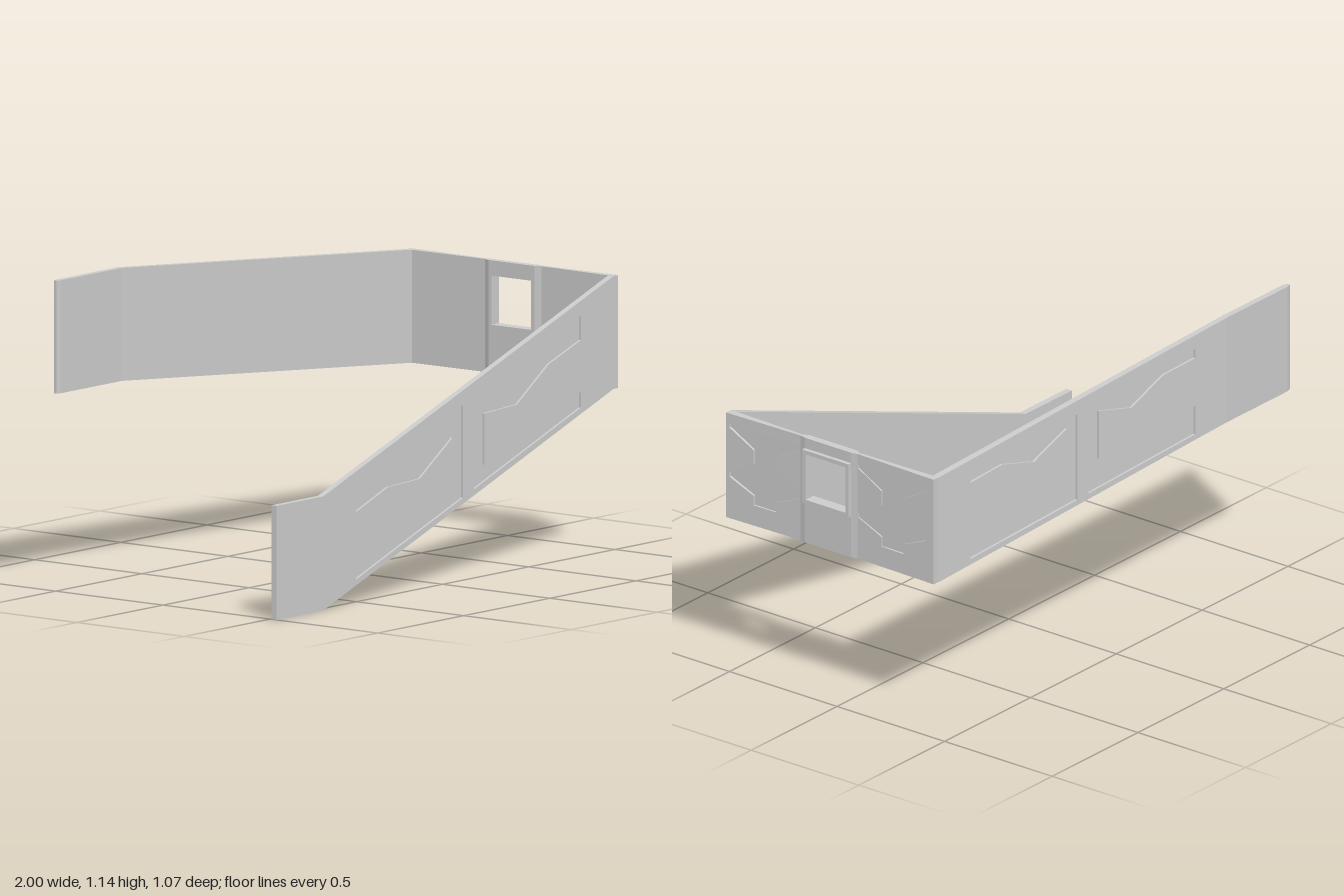
import * as THREE from 'three';

const V2 = (p) => new THREE.Vector2(p[0], p[1]);

// piecewise linear curve through [x, value] knots
function lerpKnots(knots, x) {
  let i = 0;
  while (i < knots.length - 2 && x > knots[i + 1][0]) i++;
  const [x0, y0] = knots[i], [x1, y1] = knots[i + 1];
  return y0 + ((y1 - y0) * (x - x0)) / (x1 - x0);
}

// Thin plate with engraved recesses. place(u, v, k): k = 0 outer skin, k = 1 inner skin
function plate(name, outline, recesses, place, material, depth = 0.35) {
  const ccw = (pts) => {
    const r = pts.map(V2);
    return THREE.ShapeUtils.isClockWise(r) ? r.reverse() : r;
  };
  const out = ccw(outline), cuts = recesses.map(ccw), pos = [];
  const put = (p, k) => pos.push(...place(p.x, p.y, k));
  const face = (contour, holes, k, flip) => {
    const all = [contour, ...holes].flat();
    for (const [a, b, c] of THREE.ShapeUtils.triangulateShape(contour, holes))
      for (const i of flip ? [a, c, b] : [a, b, c]) put(all[i], k);
  };
  const walls = (loop, k0, k1) => loop.forEach((a, i) => {
    const b = loop[(i + 1) % loop.length];
    put(a, k1); put(b, k1); put(b, k0);
    put(a, k1); put(b, k0); put(a, k0);
  });
  face(out, cuts.map((c) => c.slice().reverse()), 0, false);
  face(out, [], 1, true);
  walls(out, 0, 1);
  for (const c of cuts) {
    face(c, [], depth, false);
    walls(c.slice().reverse(), 0, depth);
  }
  const g = new THREE.BufferGeometry();
  g.setAttribute('position', new THREE.Float32BufferAttribute(pos, 3));
  g.computeVertexNormals();
  const mesh = new THREE.Mesh(g, material);
  mesh.name = name;
  return mesh;
}

const rect = (u0, u1, v0, v1) => [[u0, v0], [u1, v0], [u1, v1], [u0, v1]];

// C-shaped engraving, spine near the centre and open outwards; shift raises the notch
const engraving = (shift) => [
  [0.0325, 0.022], [0.6525, 0.022], [0.6525, 0.08 + shift], [0.4675, 0.083 + shift],
  [0.2825, 0.142 + shift], [0.0925, 0.083 + shift], [0.0925, 0.272 + shift],
  [0.2825, 0.213 + shift], [0.4675, 0.272 + shift], [0.6525, 0.27 + shift],
  [0.6525, 0.362], [0.0325, 0.362],
];

// half of the stepped engraving on the side panel, mirrored about its middle
const half = [
  [0.052, 0.68], [0.052, 0.718], [0.162, 0.765], [0.162, 0.782], [0.052, 0.842],
  [0.052, 0.9], [0.162, 0.96], [0.162, 0.973],
];
const emblem = (u) => [
  ...half.map(([a, v]) => [u + a, v]),
  ...half.slice().reverse().map(([a, v]) => [u - a, v]),
];

export function createModel() {
  const group = new THREE.Group();
  const mat = new THREE.MeshStandardMaterial({ color: 0xcccccc });
  const add = (...args) => group.add(plate(...args, mat));
  const X = 0.955, LOW = 0.6, HIGH = 1.016;

  // front strap: level tip, then a rising band
  const rise = (x) => 0.357 * (x + 0.73);
  const frontCuts = [-1, 1].map((s) =>
    engraving(0).map(([d, v]) => {
      const x = 0.1125 + s * d;
      return [x, v + rise(x)];
    }));
  add('frontStrap',
    [[-1, 0], [-0.73, 0], [X, LOW], [X, HIGH], [-0.73, 0.42], [-1, 0.42]],
    frontCuts, (u, v, k) => [u, v, 0.53 - 0.025 * k]);

  // back strap: bent in plan, sloping the other way, with a thinned tip
  const outer = [[-0.975, -0.529], [-0.955, -0.535], [-0.6, -0.535], [X, -0.437]];
  const inner = [[-0.975, -0.516], [-0.955, -0.511], [-0.6, -0.511], [X, -0.409]];
  const bottom = (x) => lerpKnots([[-0.975, 0.722], [-0.6, 0.722], [X, LOW]], x);
  const backPlace = (u, v, k) => [
    -u, v + bottom(-u), lerpKnots(outer, -u) * (1 - k) + lerpKnots(inner, -u) * k,
  ];
  const backCuts = [-1, 1].map((s) =>
    engraving(0.055).map(([d, v]) => [-0.177 + s * d * 0.93, v]));
  add('backStrap', rect(-X, 0.6, 0, 0.416), backCuts, backPlace);
  add('backStrapEnd', rect(0.6, 0.955, 0, 0.416), [], backPlace);
  add('backStrapTip', rect(0.955, 0.975, 0, 0.416), [], backPlace);

  // side panel: wings thin towards the waists beside the central block (u = -z)
  const sideOuter = [[-0.53, 0.982], [-0.19, 0.974], [-0.165, 0.98], [0.05, 0.98], [0.075, 0.974], [0.435, 0.982]];
  const sideInner = [[-0.53, 0.953], [-0.19, 0.961], [-0.165, 0.95], [0.05, 0.95], [0.075, 0.961], [0.435, 0.953]];
  const sidePlace = (u, v, k) => [
    lerpKnots(sideOuter, u) * (1 - k) + lerpKnots(sideInner, u) * k, v, -u,
  ];
  add('frontWing', rect(-0.53, -0.19, LOW, HIGH), [emblem(-0.353)], sidePlace);
  add('frontTaper', rect(-0.19, -0.165, LOW, HIGH), [], sidePlace);
  add('backTaper', rect(0.05, 0.075, LOW, HIGH), [], sidePlace);
  add('backWing', rect(0.075, 0.435, LOW, HIGH), [emblem(0.24)], sidePlace);

  // central block and raised frame, both pierced by the square window
  const windowed = (name, v0, v1, x0, x1) => {
    const shape = new THREE.Shape(rect(-0.165, 0.05, v0, v1).map(V2));
    shape.holes.push(new THREE.Path(rect(-0.15, 0.036, 0.779, 0.96).map(V2)));
    const g = new THREE.ExtrudeGeometry(shape, { depth: x1 - x0, bevelEnabled: false });
    const mesh = new THREE.Mesh(g.rotateY(Math.PI / 2).translate(x0, 0, 0), mat);
    mesh.name = name;
    group.add(mesh);
  };
  windowed('centreBlock', LOW, HIGH, 0.95, 0.98);
  windowed('windowFrame', 0.764, 0.975, 0.98, 0.996);

  return group;
}
